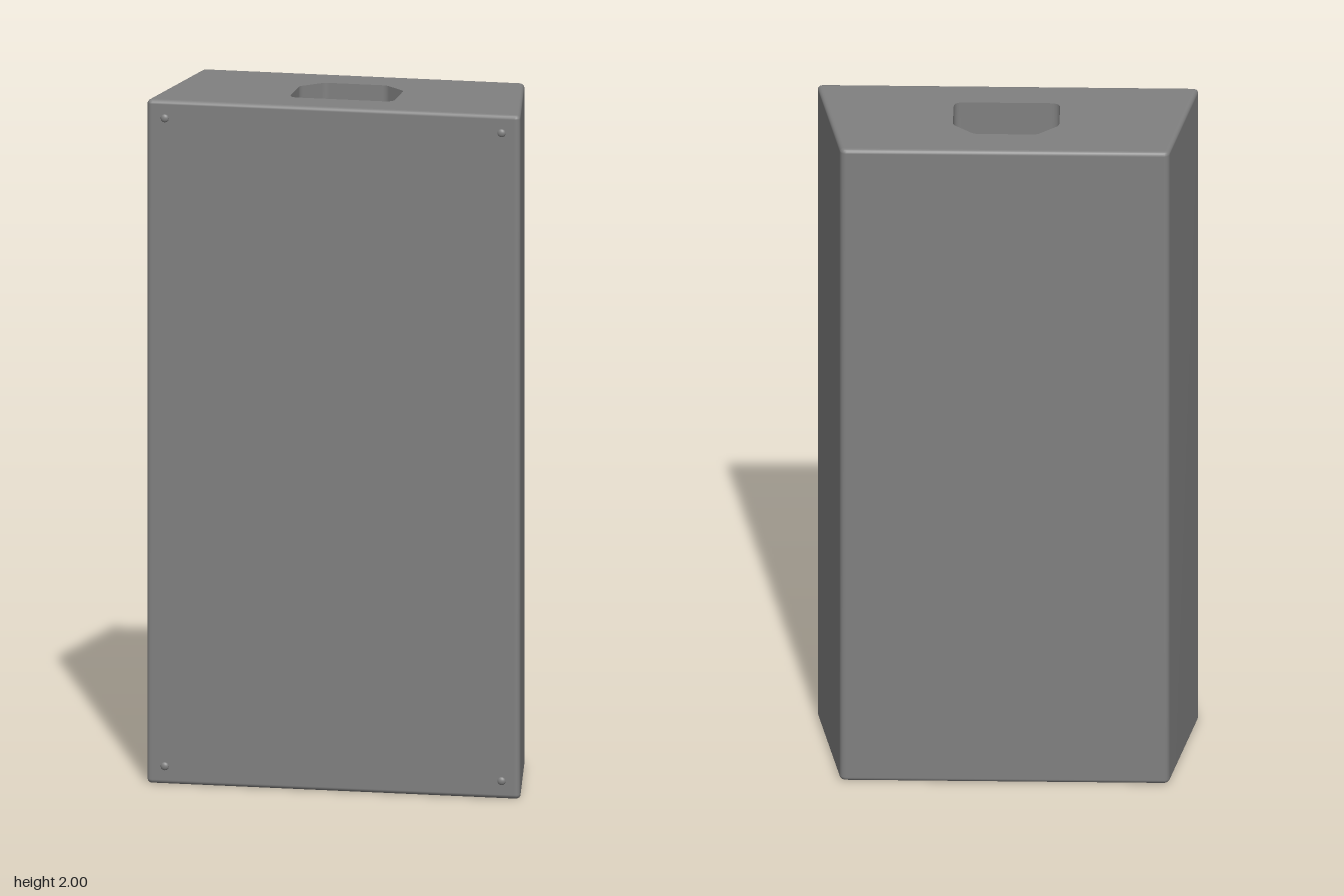
import * as THREE from 'three';

const material = new THREE.MeshStandardMaterial({ color: 0x808080 });
const H = 2, FRONT = 0.215, BACK = -0.222, HALF_FRONT = 0.546, HALF_BACK = 0.469, EDGE = 0.012;

// Closed (x, z) outline with every corner rounded by its own radius
function roundedPolygon(corners, radius, steps = 5) {
  const points = [];
  corners.forEach(([x, z, r = radius], i) => {
    const n = corners.length, p = new THREE.Vector2(x, z);
    const cut = (c) => p.clone().add(new THREE.Vector2(c[0], c[1]).sub(p).setLength(r));
    const curve = new THREE.QuadraticBezierCurve(
      cut(corners[(i + n - 1) % n]), p, cut(corners[(i + 1) % n]));
    points.push(...curve.getPoints(steps));
  });
  return points;
}

// Tapered plan of the case, shrunk inwards by an inset
function casePlan(inset) {
  const slope = (HALF_FRONT - HALF_BACK) / (FRONT - BACK);
  const shift = inset * Math.hypot(1, slope);
  const f = HALF_FRONT - slope * inset - shift, b = HALF_BACK + slope * inset - shift;
  const zf = FRONT - inset, zb = BACK + inset;
  return roundedPolygon([[f, zf], [b, zb], [-b, zb], [-f, zf]], 0.018 - inset);
}

// Wall through a series of { points, y } rings; area-weighted normals keep the flats flat
function loft(rings) {
  const n = rings[0].points.length, positions = [], index = [];
  rings.forEach(({ points, y }) => points.forEach((p) => positions.push(p.x, y, p.y)));
  for (let k = 0; k < rings.length - 1; k++) {
    for (let i = 0; i < n; i++) {
      const a = k * n + i, b = k * n + (i + 1) % n;
      index.push(a, b, b + n, a, b + n, a + n);
    }
  }
  const geometry = new THREE.BufferGeometry();
  geometry.setAttribute('position', new THREE.Float32BufferAttribute(positions, 3));
  geometry.setIndex(index);
  geometry.computeVertexNormals();
  return geometry;
}

// Horizontal plate with holes, facing up or down
function plate(points, y, up, holes = []) {
  const s = up ? -1 : 1;
  const flat = (list) => list.map((p) => new THREE.Vector2(p.x, s * p.y));
  const shape = new THREE.Shape(flat(points));
  shape.holes = holes.map((h) => new THREE.Path(flat(h)));
  return new THREE.ShapeGeometry(shape).rotateX(s * Math.PI / 2).translate(0, y, 0);
}

export function createModel() {
  const model = new THREE.Group();
  const add = (name, geometry, parent = model) => {
    const mesh = new THREE.Mesh(geometry, material);
    mesh.name = name;
    parent.add(mesh);
    return mesh;
  };

  // Recess sunk into the top or bottom face
  const pocket = (name, points, depth, up) => {
    const group = new THREE.Group();
    group.name = name;
    const floor = up ? H - depth : depth;
    add(name + 'Walls', loft([
      { points, y: up ? H : depth },
      { points, y: up ? floor : 0 },
    ]), group);
    add(name + 'Floor', plate(points, floor, up), group);
    model.add(group);
  };

  // Case walls with rounded upper and lower edges
  const rings = [];
  for (let i = 0; i <= 4; i++) {
    const t = (i / 4) * Math.PI / 2;
    rings.push({ points: casePlan(EDGE * (1 - Math.sin(t))), y: EDGE * (1 - Math.cos(t)) });
  }
  const upper = rings.map(({ points, y }) => ({ points, y: H - y })).reverse();
  add('caseWalls', loft([...rings, ...upper]));

  // Top face with the chamfered inlet socket
  const socket = roundedPolygon([
    [0.152, 0.101, 0.028], [0.152, -0.046], [0.09, -0.106],
    [-0.09, -0.106], [-0.152, -0.046], [-0.152, 0.101, 0.028],
  ], 0.012);
  add('topFace', plate(casePlan(EDGE), H, true, [socket]));
  pocket('inletSocket', socket, 0.2, true);

  // Bottom face with two shallow ports and two round holes
  const openings = [];
  for (const side of [-1, 1]) {
    const cx = side * 0.23, label = side > 0 ? 'left' : 'right';
    const x0 = cx - 0.102, x1 = cx + 0.102;
    const port = roundedPolygon([[x1, 0.09], [x1, -0.036], [x0, -0.036], [x0, 0.09]], 0.004, 2);
    const hole = Array.from({ length: 24 }, (_, i) => {
      const a = -(i / 24) * Math.PI * 2;
      return new THREE.Vector2(cx + 0.02 * Math.cos(a), -0.115 + 0.02 * Math.sin(a));
    });
    openings.push(port, hole);
    pocket(label + 'Port', port, 0.01, false);
    pocket(label + 'Hole', hole, 0.01, false);
  }
  add('bottomFace', plate(casePlan(EDGE), 0, false, openings));

  // Domed screw heads in the front corners
  const dome = new THREE.SphereGeometry(0.012, 20, 6, 0, Math.PI * 2, 0, Math.PI / 2)
    .rotateX(Math.PI / 2).scale(1, 1, 0.6);
  for (const x of [-0.491, 0.491]) {
    for (const y of [0.052, 1.948]) add('screwHead', dome).position.set(x, y, FRONT);
  }
  return model;
}
